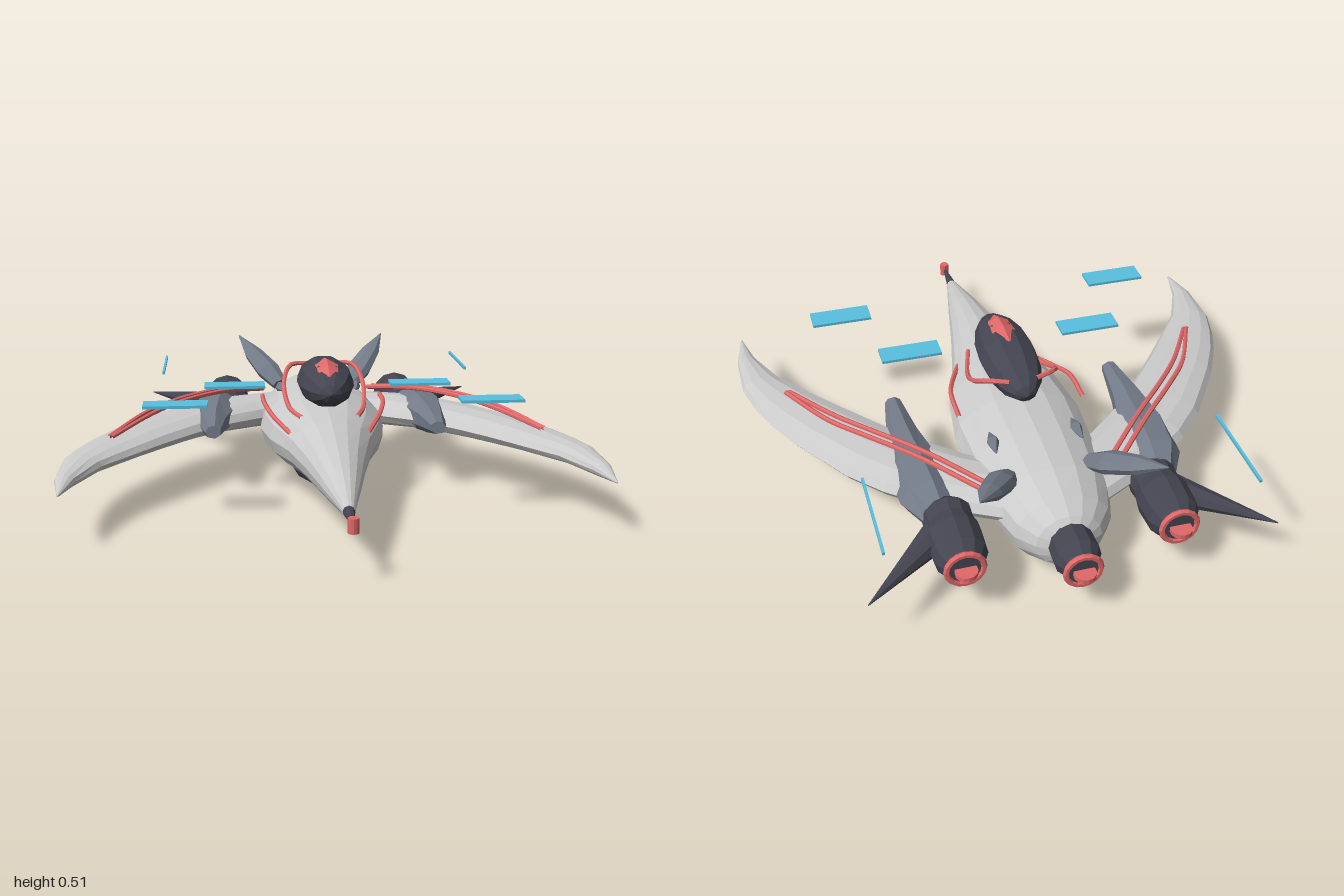
import * as THREE from 'three';

const paint = (color) => new THREE.MeshStandardMaterial({ color, flatShading: true });
const HULL = paint(0xcccccc);
const DARK = paint(0x454552);
const SLATE = paint(0x747c89);
const RED = paint(0xe06868);
const CYAN = paint(0x58c0e0);

// Closed skin over elliptical sections [x, y, z, halfWidth, halfHeight]
function loft(sections, sides = 10) {
  const up = new THREE.Vector3(0, 1, 0);
  const centers = sections.map((s) => new THREE.Vector3(s[0], s[1], s[2]));
  const last = centers.length - 1;
  const pos = [], idx = [];
  sections.forEach((s, i) => {
    const dir = centers[Math.min(i + 1, last)].clone().sub(centers[Math.max(i - 1, 0)]).normalize();
    const side = up.clone().cross(dir).normalize();
    const top = dir.clone().cross(side);
    for (let j = 0; j < sides; j++) {
      const a = (j / sides) * Math.PI * 2;
      const p = centers[i].clone()
        .addScaledVector(side, s[3] * Math.cos(a))
        .addScaledVector(top, s[4] * Math.sin(a));
      pos.push(p.x, p.y, p.z);
    }
  });
  for (let i = 0; i < last; i++) {
    for (let j = 0; j < sides; j++) {
      const k = (j + 1) % sides, a = i * sides, b = a + sides;
      idx.push(a + j, a + k, b + k, a + j, b + k, b + j);
    }
  }
  // end caps
  const c = pos.length / 3, e = last * sides;
  pos.push(...centers[0].toArray(), ...centers[last].toArray());
  for (let j = 0; j < sides; j++) {
    const k = (j + 1) % sides;
    idx.push(c, k, j, c + 1, e + j, e + k);
  }
  const g = new THREE.BufferGeometry();
  g.setAttribute('position', new THREE.Float32BufferAttribute(pos, 3));
  g.setIndex(idx);
  g.computeVertexNormals();
  return g;
}

// Reflected copy across x = 0, with the corner order reversed
function mirrored(geometry) {
  const g = geometry.clone();
  g.scale(-1, 1, 1);
  const a = g.index.array;
  for (let i = 0; i < a.length; i += 3) [a[i], a[i + 1]] = [a[i + 1], a[i]];
  g.computeVertexNormals();
  return g;
}

function cable(points, radius = 0.009) {
  const curve = new THREE.CatmullRomCurve3(points.map((p) => new THREE.Vector3(...p)));
  return new THREE.TubeGeometry(curve, 20, radius, 6, false);
}

// Ellipsoid with its poles on the z axis
function ellipsoid(x, y, z, rx, ry, rz, sides, rings) {
  return new THREE.SphereGeometry(1, sides, rings).rotateX(Math.PI / 2).scale(rx, ry, rz).translate(x, y, z);
}

export function createModel() {
  const model = new THREE.Group();
  const add = (name, geometry, material) => {
    const mesh = new THREE.Mesh(geometry, material);
    mesh.name = name;
    model.add(mesh);
  };
  const addPair = (name, geometry, material) => {
    add(name + 'Left', geometry, material);
    add(name + 'Right', mirrored(geometry), material);
  };

  // Fuselage: [z, halfWidth, bottom, top]
  const hull = [
    [-0.83, 0.06, 0.13, 0.255], [-0.8, 0.115, 0.09, 0.285], [-0.73, 0.17, 0.05, 0.315],
    [-0.6, 0.21, 0.035, 0.342], [-0.4, 0.228, 0.035, 0.358], [-0.2, 0.24, 0.05, 0.358],
    [0, 0.212, 0.08, 0.343], [0.2, 0.152, 0.105, 0.328], [0.4, 0.108, 0.122, 0.303],
    [0.6, 0.07, 0.142, 0.268], [0.84, 0.02, 0.17, 0.21],
  ].map(([z, w, b, t]) => [0, (b + t) / 2, z, w, (t - b) / 2]);
  add('fuselage', loft(hull, 16), HULL);
  add('noseCone', loft([[0, 0.19, 0.83, 0.021, 0.021], [0, 0.19, 0.97, 0.005, 0.005]], 8), DARK);
  add('noseTip', new THREE.CylinderGeometry(0.018, 0.018, 0.048, 10).translate(0, 0.19, 0.975), RED);

  // Belly pod
  add('bellyPod', loft([
    [0, 0.1, 0.22, 0.01, 0.01], [0, 0.085, 0.1, 0.075, 0.035], [0, 0.07, -0.08, 0.115, 0.055],
    [0, 0.065, -0.25, 0.132, 0.06], [0, 0.065, -0.42, 0.122, 0.056], [0, 0.068, -0.58, 0.08, 0.042],
    [0, 0.08, -0.69, 0.02, 0.015],
  ], 12), DARK);

  // Canopy with its red top window
  add('canopy', ellipsoid(0, 0.42, -0.05, 0.106, 0.085, 0.26, 10, 8), DARK);
  add('canopyWindow', ellipsoid(0, 0.44, 0.01, 0.06, 0.075, 0.15, 8, 6), RED);
  addPair('canopyCable', cable([
    [0.1, 0.325, 0.15], [0.14, 0.335, 0], [0.15, 0.4, -0.14], [0.12, 0.45, -0.22], [0.05, 0.45, -0.25],
  ]), RED);
  addPair('hullCable', cable([
    [0.14, 0.265, 0.15], [0.2, 0.3, 0], [0.226, 0.325, -0.1], [0.23, 0.325, -0.24],
  ]), RED);
  addPair('hullVent', loft([
    [0.15, 0.322, -0.345, 0.002, 0.002], [0.15, 0.322, -0.4, 0.022, 0.026], [0.155, 0.322, -0.46, 0.003, 0.003],
  ], 6), SLATE);

  // Crescent wings sweeping forward, each with two cables
  addPair('wing', loft([
    [0.12, 0.21, -0.55, 0.13, 0.06], [0.3, 0.215, -0.45, 0.14, 0.06], [0.45, 0.22, -0.33, 0.145, 0.055],
    [0.545, 0.22, -0.23, 0.142, 0.053], [0.62, 0.22, -0.13, 0.135, 0.05], [0.7, 0.218, -0.02, 0.127, 0.047],
    [0.77, 0.215, 0.09, 0.115, 0.042], [0.83, 0.212, 0.2, 0.097, 0.039], [0.875, 0.21, 0.3, 0.075, 0.035],
    [0.913, 0.203, 0.48, 0.036, 0.025], [0.917, 0.2, 0.635, 0.003, 0.003],
  ], 12), HULL);
  for (const [name, o] of [['wingCableOuter', 0.012], ['wingCableInner', -0.012]]) {
    addPair(name, cable([
      [0.23 + o, 0.285, -0.57 - o], [0.4 + o, 0.315, -0.39 - o], [0.55 + o, 0.315, -0.23 - o],
      [0.66 + o, 0.3, -0.09 - o], [0.79 + o / 2, 0.268, 0.15],
    ]), RED);
  }

  // Engine exhaust: a red ring around a small flat disc
  const exhaust = (x, y, z, r) => [
    new THREE.TorusGeometry(r, 0.011, 6, 16).translate(x, y, z),
    new THREE.CylinderGeometry(0.038, 0.038, 0.016, 14).translate(x, y, z - 0.015),
  ];

  // Centre engine
  add('centreEngine', loft([
    [0, 0.19, -0.76, 0.07, 0.07], [0, 0.19, -0.81, 0.078, 0.078], [0, 0.19, -0.89, 0.08, 0.08],
    [0, 0.19, -0.92, 0.062, 0.062], [0, 0.19, -0.95, 0.055, 0.055],
  ], 12), DARK);
  const [ring, disc] = exhaust(0, 0.19, -0.947, 0.059);
  add('centreExhaustRing', ring, RED);
  add('centreExhaustDisc', disc, RED);

  // Side engines, pylons and spikes
  addPair('sideEngine', loft([
    [0.365, 0.205, -0.55, 0.05, 0.05], [0.365, 0.205, -0.6, 0.087, 0.087], [0.365, 0.205, -0.65, 0.082, 0.082],
    [0.365, 0.205, -0.7, 0.094, 0.094], [0.365, 0.205, -0.8, 0.09, 0.09], [0.365, 0.205, -0.83, 0.072, 0.072],
    [0.365, 0.205, -0.855, 0.06, 0.06],
  ], 12), DARK);
  const [sideRing, sideDisc] = exhaust(0.365, 0.205, -0.853, 0.062);
  addPair('sideExhaustRing', sideRing, RED);
  addPair('sideExhaustDisc', sideDisc, RED);
  addPair('enginePylon', loft([
    [0.39, 0.215, -0.62, 0.05, 0.05], [0.41, 0.22, -0.5, 0.095, 0.075], [0.42, 0.225, -0.35, 0.095, 0.075],
    [0.425, 0.235, -0.17, 0.058, 0.055], [0.422, 0.245, 0.015, 0.03, 0.025],
  ], 7), SLATE);
  addPair('engineSpike', loft([[0.4, 0.2, -0.655, 0.062, 0.055], [0.69, 0.2, -0.92, 0.002, 0.002]], 8), DARK);

  // Raked tail fins
  addPair('tailFin', loft([
    [0.145, 0.3, -0.56, 0.035, 0.025], [0.19, 0.345, -0.635, 0.055, 0.037],
    [0.25, 0.4, -0.735, 0.042, 0.03], [0.31, 0.462, -0.84, 0.002, 0.002],
  ], 8), SLATE);

  // Floating cyan panels and strips
  const panel = (x, y, z, w, h, d) => new THREE.BoxGeometry(w, h, d).translate(x, y, z);
  addPair('innerPanel', panel(0.34, 0.43, 0.055, 0.22, 0.01, 0.085), CYAN);
  addPair('outerPanel', panel(0.545, 0.43, 0.355, 0.22, 0.01, 0.088), CYAN);
  addPair('sideStrip', panel(0.625, 0.365, -0.7, 0.009, 0.011, 0.36), CYAN);

  return model;
}
